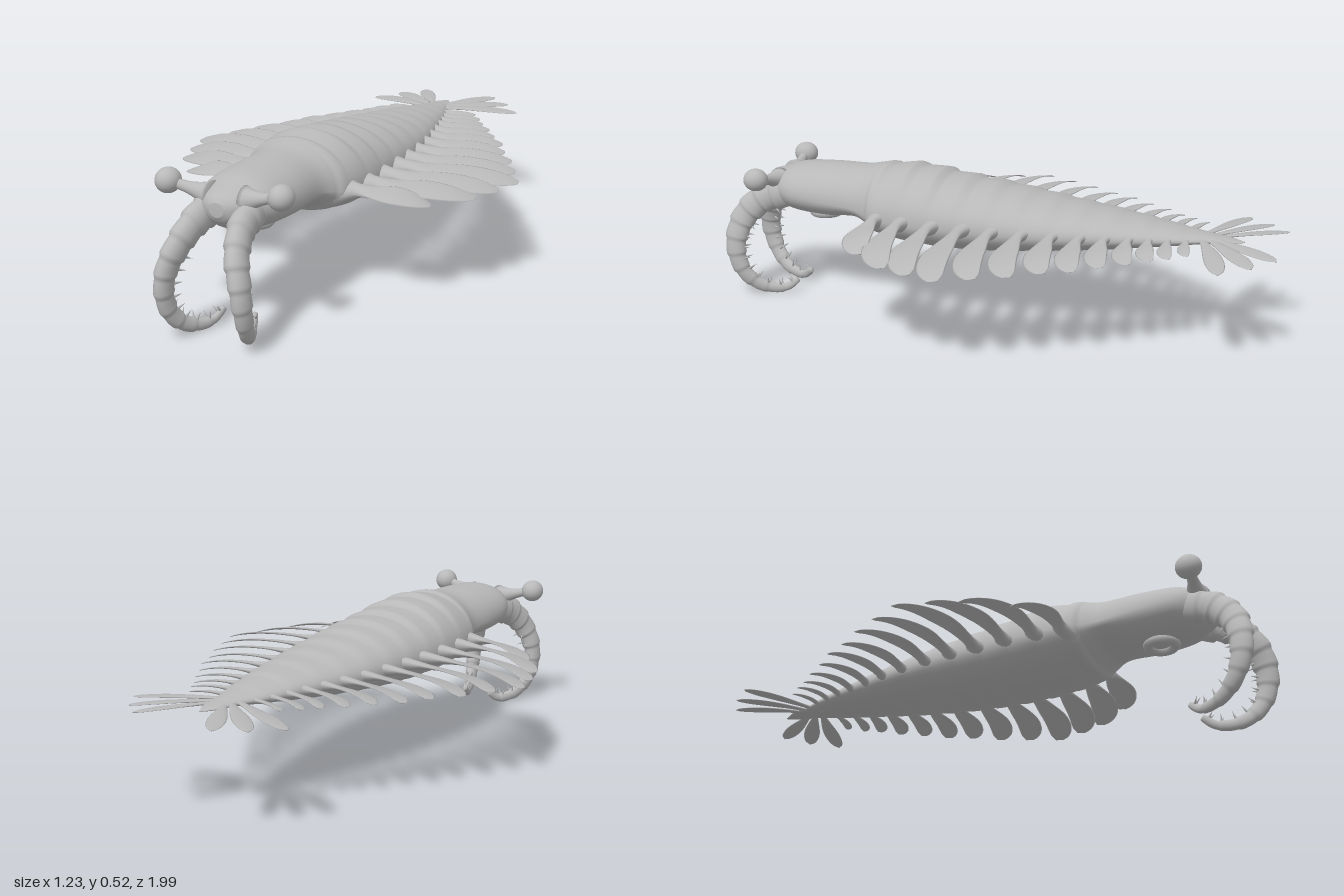
import * as THREE from 'three';

const V = (x, y, z) => new THREE.Vector3(x, y, z);
const TAU = Math.PI * 2;

// Closed smooth skin over a row of rings, always facing outwards
function loft(rings, material, name) {
  const n = rings[0].length, pos = [], idx = [];
  rings.forEach(r => r.forEach(p => pos.push(p.x, p.y, p.z)));
  for (let i = 0; i < rings.length - 1; i++) {
    for (let j = 0; j < n; j++) {
      const a = i * n + j, b = i * n + (j + 1) % n;
      idx.push(a, b, a + n, b, b + n, a + n);
    }
  }
  [0, rings.length - 1].forEach((e, k) => {
    const c = rings[e].reduce((s, p) => s.add(p), V(0, 0, 0)).divideScalar(n);
    const ci = pos.length / 3;
    pos.push(c.x, c.y, c.z);
    for (let j = 0; j < n; j++) {
      const a = e * n + j, b = e * n + (j + 1) % n;
      k ? idx.push(a, b, ci) : idx.push(b, a, ci);
    }
  });
  const at = i => V(pos[i * 3], pos[i * 3 + 1], pos[i * 3 + 2]);
  let volume = 0;
  for (let i = 0; i < idx.length; i += 3) volume += at(idx[i]).dot(at(idx[i + 1]).cross(at(idx[i + 2])));
  if (volume < 0) idx.reverse();
  const g = new THREE.BufferGeometry();
  g.setAttribute('position', new THREE.Float32BufferAttribute(pos, 3));
  g.setIndex(idx);
  g.computeVertexNormals();
  const mesh = new THREE.Mesh(g, material);
  mesh.name = name;
  return mesh;
}

// z, half width, top y, bottom y, widest y
const BODY = [
  [0.86, 0.025, 0.445, 0.40, 0.425], [0.84, 0.06, 0.465, 0.375, 0.425], [0.79, 0.10, 0.482, 0.345, 0.42],
  [0.72, 0.135, 0.503, 0.33, 0.41], [0.6, 0.145, 0.512, 0.325, 0.40], [0.48, 0.145, 0.515, 0.335, 0.39],
  [0.42, 0.165, 0.525, 0.31, 0.38], [0.38, 0.19, 0.53, 0.287, 0.375], [0.25, 0.205, 0.53, 0.27, 0.37],
  [0.1, 0.205, 0.508, 0.265, 0.37], [-0.1, 0.195, 0.483, 0.277, 0.37], [-0.3, 0.17, 0.455, 0.30, 0.372],
  [-0.5, 0.125, 0.43, 0.327, 0.375], [-0.65, 0.085, 0.408, 0.35, 0.377], [-0.76, 0.045, 0.393, 0.365, 0.378],
  [-0.82, 0.035, 0.386, 0.37, 0.378], [-0.875, 0.004, 0.379, 0.375, 0.377]];

function makeBody(mat) {
  const a = new THREE.CatmullRomCurve3(BODY.map(r => V(r[0], r[1], r[2])), false, 'catmullrom', 0.5);
  const b = new THREE.CatmullRomCurve3(BODY.map(r => V(r[0], r[3], r[4])), false, 'catmullrom', 0.5);
  const rings = [];
  for (let i = 0; i <= 180; i++) {
    const p = a.getPoint(i / 180), q = b.getPoint(i / 180), z = p.x;
    // overlapping plates along the trunk
    let ridge = 0;
    if (z < 0.37 && z > -0.8) {
      const s = ((0.37 - z) / 0.105) % 1;
      ridge = s < 0.85 ? s / 0.85 : (1 - s) / 0.15;
    }
    const ring = [];
    for (let j = 0; j < 40; j++) {
      const t = j / 40 * TAU, c = Math.cos(t), s = Math.sin(t);
      const h = s > 0 ? p.z - q.z : q.z - q.y;
      ring.push(V(p.y * c, q.z + h * s * (1 + (s > 0 ? 0.09 : 0.06) * (ridge - 0.5) * (ridge ? 1 : 0)), z));
    }
    rings.push(ring);
  }
  return loft(rings, mat, 'body');
}

// Thin blade along a curve; width and thick give half sizes at u, tilt lowers its front edge
function blade(curve, width, thick, tilt, mat, name) {
  const rings = [];
  for (let i = 0; i <= 22; i++) {
    const u = i / 22, p = curve.getPoint(u), t = curve.getTangent(u);
    const side = V(-t.z, 0, t.x).normalize();
    if (side.z < 0) side.negate();
    side.y = -tilt;
    const ring = [];
    for (let j = 0; j < 14; j++) {
      const a = j / 14 * TAU;
      ring.push(p.clone().addScaledVector(side, width(u) * Math.cos(a)).add(V(0, thick(u) * Math.sin(a), 0)));
    }
    rings.push(ring);
  }
  return loft(rings, mat, name);
}

// Front edge z, tip x, tip z, half width
const FLAPS = [
  [0.41, 0.44, 0.30, 0.052], [0.315, 0.54, 0.17, 0.053], [0.205, 0.58, 0.07, 0.054], [0.095, 0.61, 0.045 - 0.08, 0.054],
  [-0.01, 0.56, -0.14, 0.051], [-0.115, 0.51, -0.24, 0.049], [-0.22, 0.45, -0.33, 0.046], [-0.315, 0.41, -0.415, 0.042],
  [-0.40, 0.35, -0.49, 0.038], [-0.48, 0.30, -0.565, 0.034], [-0.55, 0.25, -0.625, 0.029], [-0.615, 0.22, -0.675, 0.024],
  [-0.675, 0.18, -0.725, 0.02]];

function makeFlaps(side, mat) {
  const g = new THREE.Group();
  g.name = side > 0 ? 'leftFlaps' : 'rightFlaps';
  FLAPS.forEach(([f, tx, tz, w], i) => {
    const k = i / 12, root = 0.155 - 0.125 * k * k, L = tx - root;
    const curve = new THREE.CubicBezierCurve3(
      V(side * root, 0.368 + 0.007 * k, f - w * 0.95),
      V(side * (root + L * 0.4), 0.385 - 0.005 * k, f - w * 0.8),
      V(side * (root + L * 0.85), 0.375, f - w * 0.9),
      V(side * tx, 0.345 + 0.028 * k, tz));
    const width = u => w * (u < 0.55
      ? 0.45 + 0.55 * THREE.MathUtils.smoothstep(u, 0.12, 0.55) + 0.6 * Math.max(0, 0.15 - u) / 0.15
      : 0.04 + 0.96 * Math.sqrt(Math.max(0, 1 - ((u - 0.55) / 0.45) ** 2)));
    const thick = u => (0.034 - 0.024 * k) * Math.max(0, 1 - u * 2.6) ** 1.5 + 0.006 * (1 - u) + 0.0015;
    g.add(blade(curve, width, thick, 0.25, mat, 'flap'));
  });
  return g;
}

// Tail fan of three rounded blades per side
function makeTail(side, mat) {
  const g = new THREE.Group();
  g.name = side > 0 ? 'leftTailFan' : 'rightTailFan';
  [[0.155, -1.0, 0.028, 0.378], [0.235, -0.935, 0.03, 0.372], [0.305, -0.845, 0.031, 0.366]].forEach(([x, z, w, y], i) => {
    const curve = new THREE.QuadraticBezierCurve3(
      V(side * 0.015, 0.378, -0.78 + i * 0.025), V(side * x * 0.5, 0.385, -0.78 + (z + 0.78) * 0.42 + i * 0.005), V(side * x, y, z));
    const width = u => w * (u < 0.7 ? 0.3 + 0.7 * THREE.MathUtils.smoothstep(u, 0, 0.7)
      : 0.05 + 0.95 * Math.sqrt(Math.max(0, 1 - ((u - 0.7) / 0.3) ** 2)));
    g.add(blade(curve, width, u => 0.006 - 0.004 * u, 0.1, mat, 'tailBlade'));
  });
  return g;
}

function makeEye(side, mat) {
  const g = new THREE.Group();
  g.name = side > 0 ? 'leftEye' : 'rightEye';
  const rings = [];
  for (let i = 0; i <= 10; i++) {
    const u = i / 10, r = 0.016 + 0.032 * (1 - u) ** 2.5, ring = [];
    for (let j = 0; j < 16; j++) {
      const a = j / 16 * TAU;
      ring.push(V(side * (0.055 + 0.125 * u), 0.44 + 0.034 * u + r * Math.sin(a), 0.79 + 0.025 * u + r * Math.cos(a)));
    }
    rings.push(ring);
  }
  g.add(loft(rings, mat, 'eyeStalk'));
  const ball = new THREE.Mesh(new THREE.SphereGeometry(0.04, 24, 16), mat);
  ball.name = 'eyeball';
  ball.position.set(side * 0.195, 0.477, 0.815);
  ball.scale.z = 1.1;
  g.add(ball);
  return g;
}

// Curled grasping arm with ringed segments and inner spines
function makeArm(side, mat) {
  const g = new THREE.Group();
  g.name = side > 0 ? 'leftArm' : 'rightArm';
  const path = new THREE.CatmullRomCurve3([
    [0.07, 0.405, 0.76], [0.08, 0.375, 0.85], [0.103, 0.31, 0.918], [0.127, 0.235, 0.945], [0.135, 0.165, 0.945],
    [0.13, 0.1, 0.922], [0.113, 0.055, 0.88], [0.092, 0.035, 0.83], [0.07, 0.037, 0.78], [0.055, 0.065, 0.742]
  ].map(p => V(side * p[0], p[1], p[2])));
  const radius = u => 0.057 - 0.046 * u ** 1.25;
  const centre = V(side * 0.1, 0.17, 0.83), rings = [];
  for (let i = 0; i <= 110; i++) {
    const u = i / 110, p = path.getPointAt(u), t = path.getTangentAt(u);
    const n = V(1, 0, 0).cross(t).normalize(), b = t.clone().cross(n);
    const s = (u * 11) % 1, r = radius(u) * (0.93 + 0.13 * (s < 0.8 ? s / 0.8 : (1 - s) / 0.2)), ring = [];
    for (let j = 0; j < 20; j++) {
      const a = j / 20 * TAU;
      ring.push(p.clone().addScaledVector(n, r * Math.cos(a)).addScaledVector(b, r * 0.75 * Math.sin(a)));
    }
    rings.push(ring);
  }
  g.add(loft(rings, mat, 'armSegments'));
  for (let k = 0; k < 9; k++) {
    const u = 0.33 + k * 0.08, p = path.getPointAt(Math.min(u, 0.98)), t = path.getTangentAt(Math.min(u, 0.98));
    const d = centre.clone().sub(p);
    d.addScaledVector(t, -d.dot(t)).normalize();
    [-1, 1].forEach(e => {
      const dir = d.clone().add(V(e * 0.35, 0, 0)).normalize();
      const spine = new THREE.Mesh(new THREE.ConeGeometry(0.006, 0.034, 8), mat);
      spine.name = 'spine';
      spine.position.copy(p).addScaledVector(dir, radius(u) * 0.85 + 0.01);
      spine.quaternion.setFromUnitVectors(V(0, 1, 0), dir);
      g.add(spine);
    });
  }
  return g;
}

export function createModel() {
  const shell = new THREE.MeshStandardMaterial({ color: 0xb8b8b8 });
  shell.name = 'shellGrey';
  const model = new THREE.Group();
  model.name = 'seaCreature';
  model.add(makeBody(shell));
  [1, -1].forEach(s => model.add(makeFlaps(s, shell), makeTail(s, shell), makeEye(s, shell), makeArm(s, shell)));
  // Round mouth under the head
  const mouth = new THREE.Mesh(new THREE.TorusGeometry(0.045, 0.018, 12, 32), shell);
  mouth.name = 'mouth';
  mouth.rotation.x = Math.PI / 2;
  mouth.position.set(0, 0.328, 0.64);
  model.add(mouth);
  return model;
}
